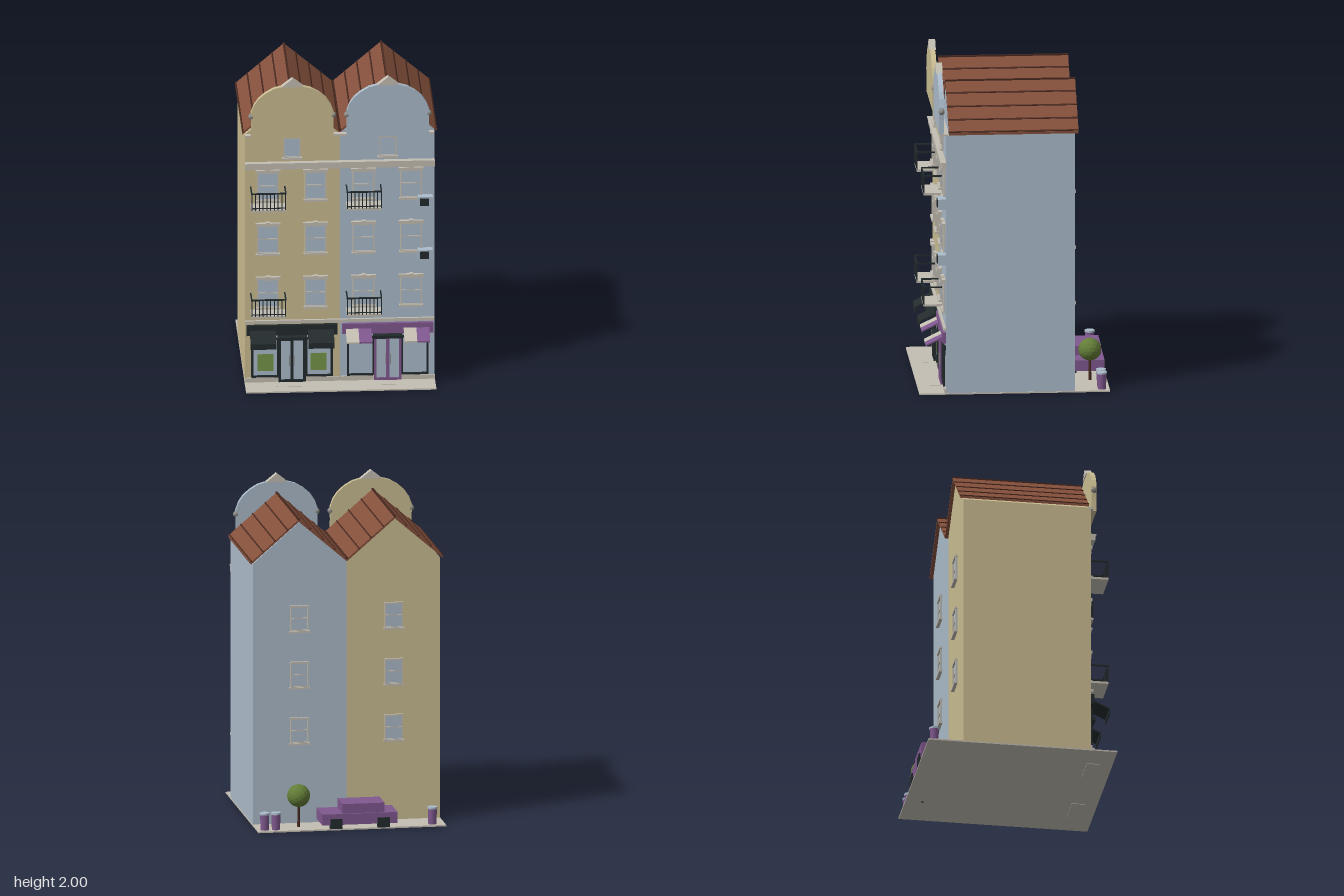
import * as THREE from 'three';

const mat = (name, color) => {
  const m = new THREE.MeshStandardMaterial({ color });
  m.name = name;
  return m;
};

export function createModel() {
  const tan = mat('sandWall', 0xcbbd92), blue = mat('paleBlue', 0xacbccb), stone = mat('stone', 0xc4beb2);
  const roof = mat('roofTile', 0x84503c), seam = mat('darkBrown', 0x48291f), dark = mat('charcoal', 0x232b2d);
  const purple = mat('purple', 0x80588f), leaf = mat('leaf', 0x647d38), poster = mat('posterGreen', 0x76964a);
  const grey = mat('greyStone', 0x8d8c86);
  const model = new THREE.Group();
  const FZ = 0.415, BZ = -0.365;

  const add = (name, geo, m, parent = model) => {
    const mesh = new THREE.Mesh(geo, m);
    mesh.name = name;
    parent.add(mesh);
    return mesh;
  };
  // box from its limits on each axis
  const box = (name, m, x0, x1, y0, y1, z0, z1, parent) => {
    const b = add(name, new THREE.BoxGeometry(x1 - x0, y1 - y0, z1 - z0), m, parent);
    b.position.set((x0 + x1) / 2, (y0 + y1) / 2, (z0 + z1) / 2);
    return b;
  };
  // outline in x, y pushed from z0 to z1
  const prism = (name, m, pts, z0, z1, parent) => {
    const s = new THREE.Shape(pts.map(p => new THREE.Vector2(p[0], p[1])));
    const g = new THREE.ExtrudeGeometry(s, { depth: z1 - z0, bevelEnabled: false });
    g.translate(0, 0, z0);
    return add(name, g, m, parent);
  };
  const group = (name, x = 0, y = 0, z = 0, parent = model) => {
    const g = new THREE.Group();
    g.name = name;
    g.position.set(x, y, z);
    parent.add(g);
    return g;
  };
  // rectangular frame made of four bars
  const frame = (name, m, x0, x1, y0, y1, t, z0, z1, p) => {
    box(name, m, x0, x0 + t, y0, y1, z0, z1, p);
    box(name, m, x1 - t, x1, y0, y1, z0, z1, p);
    box(name, m, x0 + t, x1 - t, y0, y0 + t, z0, z1, p);
    box(name, m, x0 + t, x1 - t, y1 - t, y1, z0, z1, p);
  };

  // window standing on its sill, facing +z
  function sashWindow(x, y, w, h, decorated) {
    const g = group('window', x, y, FZ), a = w / 2;
    box('glass', blue, -a, a, 0.01, h, -0.002, 0.004, g);
    frame('windowFrame', stone, -a, a, 0.01, h, 0.007, -0.002, 0.012, g);
    box('sill', stone, -a - 0.008, a + 0.008, 0, 0.012, -0.002, 0.02, g);
    if (decorated) {
      box('meetingRail', stone, -a, a, h * 0.5, h * 0.5 + 0.006, 0, 0.009, g);
      box('lintel', stone, -a - 0.01, a + 0.01, h - 0.01, h + 0.01, -0.002, 0.02, g);
      box('keystone', stone, -0.013, 0.013, h - 0.012, h + 0.016, 0, 0.024, g);
    }
    return g;
  }

  function balcony(x, y) {
    const g = group('balcony', x, y, FZ);
    box('balconySlab', stone, -0.105, 0.105, 0, 0.014, 0, 0.113, g);
    box('frontRail', dark, -0.107, 0.107, 0.115, 0.124, 0.107, 0.115, g);
    box('bottomRail', dark, -0.103, 0.103, 0.022, 0.027, 0.108, 0.113, g);
    for (const s of [-1, 1]) box('sideRail', dark, s * 0.103 - 0.004, s * 0.103 + 0.004, 0.115, 0.124, 0, 0.11, g);
    for (let i = 0; i <= 9; i++) {
      const bx = -0.102 + i * 0.2267 / 10;
      box('railBar', dark, bx - 0.003, bx + 0.003, 0.012, 0.118, 0.108, 0.114, g);
    }
  }

  // sloping awning between two x limits
  function awning(x0, x1, m, valance) {
    const g = group('awning', x0, 0, 0);
    const p = prism('awningCloth', m, [[0.425, 0.35], [0.53, 0.3], [0.53, 0.3 - valance], [0.536, 0.3 - valance],
      [0.536, 0.306], [0.425, 0.36]], 0, x1 - x0, g);
    p.rotation.y = -Math.PI / 2;
    p.position.x = x1 - x0;
    // the profile's x axis becomes depth
  }

  function shop(cx, trim, left) {
    const g = group('shopFront', cx, 0, 0);
    box('signBand', trim, -0.275, 0.275, 0.32, 0.385, FZ, 0.437, g);
    box('plinth', stone, -0.285, 0.285, 0.012, 0.04, FZ - 0.002, 0.424, g);
    for (const s of [-1, 1]) {
      const x0 = s * 0.163 - 0.083, x1 = x0 + 0.166;
      box('shopGlass', blue, x0, x1, 0.045, 0.32, FZ - 0.002, 0.42, g);
      frame('shopFrame', dark, x0, x1, 0.045, 0.3, 0.012, FZ, 0.43, g);
      if (left) box('poster', poster, s * 0.16 - 0.048, s * 0.16 + 0.048, 0.085, 0.195, 0.42, 0.424, g);
    }
    box('doorGlass', blue, -0.08, 0.08, 0.02, 0.3, FZ, 0.427, g);
    frame('doorFrame', trim, -0.083, 0.083, 0.014, 0.305, 0.016, FZ, 0.434, g);
    box('doorMullion', trim, -0.009, 0.009, 0.02, 0.3, FZ, 0.434, g);
    for (const s of [-1, 1]) box('doorHandle', grey, s * 0.016 - 0.002, s * 0.016 + 0.002, 0.12, 0.19, 0.434, 0.44, g);
    box('doorCanopy', dark, -0.088, 0.088, 0.3, 0.32, FZ, 0.475, g);
    box('doorStep', stone, -0.1, 0.1, 0, 0.014, 0.42, 0.5, g);
  }

  // pavement
  box('pavement', stone, -0.575, 0.575, 0.003, 0.012, -0.577, 0.577);

  // the two houses
  for (const s of [-1, 1]) {
    const wall = s < 0 ? tan : blue, cx = s * 0.289;
    const name = s < 0 ? 'rightHouse' : 'leftHouse';
    const xo = 0.2865, mid = s * xo;
    prism(name + 'Walls', wall, [[mid - xo, 0.012], [mid + xo, 0.012], [mid + xo, 1.62], [mid, 1.87], [mid - xo, 1.62]], BZ, 0.395);
    box(name + 'Front', wall, mid - xo, mid + xo, 0.012, 1.615, 0.394, FZ);

    // roof with raised seams
    const e0 = s < 0 ? -0.588 : 0, e1 = e0 + 0.588, rx = (e0 + e1) / 2;
    prism('roof', roof, [[e0, 1.62], [rx, 1.874], [e1, 1.62], [e1, 1.635], [rx, 1.889], [e0, 1.635]], -0.385, 0.4);
    const tilt = Math.atan2(0.254, 0.294);
    for (const d of [-1, 1]) for (const t of [0.24, 0.5, 0.75, 0.985]) {
      const b = add('roofSeam', new THREE.BoxGeometry(0.009, 0.008, 0.787), seam);
      b.position.set(rx + d * 0.294 * t, 1.889 - 0.254 * t, 0.0075);
      b.rotation.z = -d * tilt;
    }
    box('ridgeSeam', seam, rx - 0.006, rx + 0.006, 1.882, 1.893, -0.386, 0.401);

    // curved front gable
    const half = [[0.25, 1.615], [0.248, 1.7], [0.25, 1.78], [0.232, 1.83], [0.205, 1.87], [0.165, 1.905], [0.115, 1.935], [0.06, 1.95]];
    const outline = [...half.map(p => [cx + p[0], p[1]]), ...half.slice().reverse().map(p => [cx - p[0], p[1]])];
    prism('frontGable', wall, outline, 0.425, 0.455);
    prism('pediment', stone, [[cx - 0.065, 1.948], [cx + 0.065, 1.948], [cx, 2]], 0.42, 0.46);
    box('gableLedge', stone, mid - xo, mid + xo, 1.612, 1.624, 0.4, 0.43);
    for (const d of [-1, 1]) {
      const ball = add('gableBall', new THREE.SphereGeometry(0.019, 10, 8), grey);
      ball.position.set(cx + d * 0.247, 1.755, 0.44);
    }

    // stone bands
    box('cornice', stone, mid - xo, mid + xo, 1.405, 1.445, FZ - 0.002, 0.442);
    box('corniceLip', stone, mid - xo, mid + xo, 1.438, 1.447, FZ, 0.448);
    box('floorBand', stone, mid - xo, mid + xo, 0.395, 0.414, FZ - 0.002, 0.43);

    // front windows, attic window, balconies
    const cols = s < 0 ? [-0.435, -0.147] : [0.143, 0.43];
    for (const y of [0.49, 0.84, 1.187]) for (const x of cols) sashWindow(x, y, 0.13, 0.2, true);
    sashWindow(cx, 1.463, 0.105, 0.14, false);
    for (const y of [0.47, 1.163]) balcony(cols[0], y);

    // back windows
    for (const y of [0.495, 0.84, 1.187]) {
      const w = sashWindow(cx, y, 0.11, 0.165, false);
      box('meetingRail', stone, -0.05, 0.05, 0.085, 0.091, 0, 0.009, w);
      box('headTrim', stone, -0.059, 0.059, 0.157, 0.168, 0, 0.015, w);
      w.position.z = BZ;
      w.rotation.y = Math.PI;
    }
    shop(cx, s < 0 ? dark : purple, s < 0);
  }

  // awnings
  awning(-0.545, -0.388, dark, 0.03);
  awning(-0.195, -0.038, dark, 0.03);
  for (const x of [0.035, 0.385]) {
    awning(x, x + 0.077, stone, 0.004);
    awning(x + 0.077, x + 0.155, purple, 0.004);
  }

  // air conditioners
  for (const y of [0.803, 1.15]) {
    box('airConditioner', blue, 0.47, 0.56, y, y + 0.064, FZ, 0.463);
    box('fanGrille', dark, 0.482, 0.535, y + 0.009, y + 0.055, 0.462, 0.468);
  }

  // parked car
  const car = group('car');
  box('carBody', purple, -0.277, 0.183, 0.035, 0.102, -0.572, -0.37, car);
  box('carCabin', purple, -0.2, 0.057, 0.1, 0.16, -0.56, -0.385, car);
  for (const x of [-0.193, 0.097]) for (const z of [-0.56, -0.384])
    box('wheel', dark, x - 0.037, x + 0.037, 0.012, 0.072, z - 0.02, z + 0.017, car);

  // bins
  for (const x of [-0.498, 0.46, 0.529]) {
    const g = group('bin', x, 0.012, -0.53);
    add('binBody', new THREE.CylinderGeometry(0.028, 0.025, 0.095, 10), purple, g).position.y = 0.0475;
    add('binLid', new THREE.CylinderGeometry(0.031, 0.031, 0.012, 10), blue, g).position.y = 0.1;
  }

  // street tree
  const tree = group('tree', 0.311, 0, -0.473);
  add('trunk', new THREE.CylinderGeometry(0.007, 0.009, 0.16, 8), seam, tree).position.y = 0.082;
  leaf.flatShading = true;
  add('crown', new THREE.IcosahedronGeometry(0.07, 2), leaf, tree).position.y = 0.204;

  return model;
}
